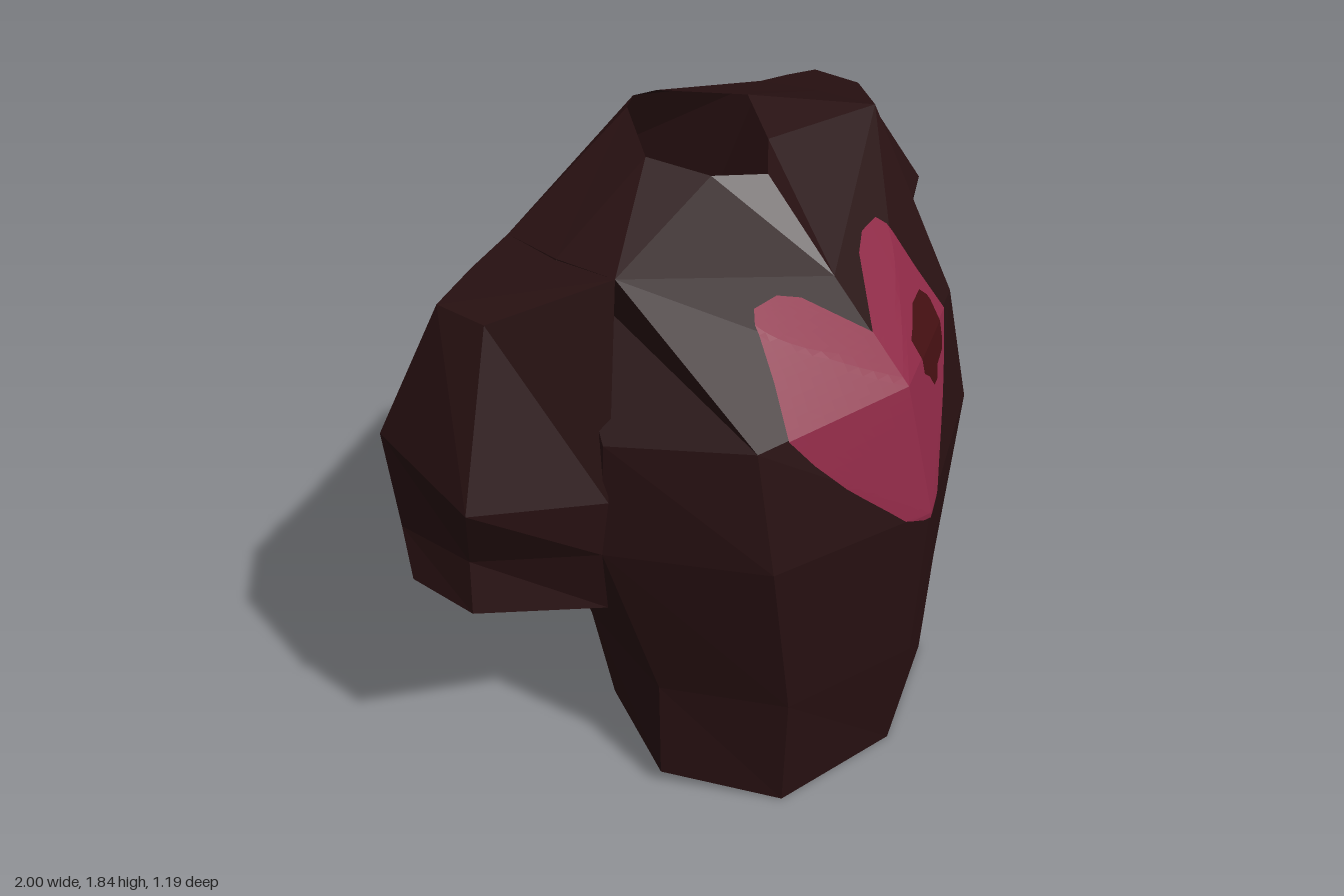
import * as THREE from 'three';

const mat = (name, color) => {
  const m = new THREE.MeshStandardMaterial({ color, side: THREE.DoubleSide, flatShading: true });
  m.name = name;
  return m;
};

// Join stacked half sections (bottom to top) into triangles of points
function loft(rows) {
  const tris = [];
  for (let r = 0; r < rows.length - 1; r++) {
    const a = rows[r], b = rows[r + 1];
    for (let i = 0; i < a.length - 1; i++) {
      tris.push([a[i], a[i + 1], b[i + 1]], [a[i], b[i + 1], b[i]]);
    }
  }
  return tris;
}

const fan = (ring) => ring.slice(2).map((p, i) => [ring[0], ring[i + 1], p]);
const mirror = (tris) => tris.map(([a, b, c]) => [a, c, b].map(([x, y, z]) => [-x, y, z]));

function mesh(name, tris, material) {
  const g = new THREE.BufferGeometry();
  g.setAttribute('position', new THREE.Float32BufferAttribute(tris.flat(2), 3));
  g.computeVertexNormals();
  const m = new THREE.Mesh(g, material);
  m.name = name;
  return m;
}

// Height of the front surface (z) above a point x, y
function frontZ(tris, x, y) {
  let best = -1;
  for (const [a, b, c] of tris) {
    const d = (b[1] - c[1]) * (a[0] - c[0]) + (c[0] - b[0]) * (a[1] - c[1]);
    if (Math.abs(d) < 1e-9) continue;
    const u = ((b[1] - c[1]) * (x - c[0]) + (c[0] - b[0]) * (y - c[1])) / d;
    const v = ((c[1] - a[1]) * (x - c[0]) + (a[0] - c[0]) * (y - c[1])) / d;
    const w = 1 - u - v;
    if (Math.min(u, v, w) > -1e-6) best = Math.max(best, u * a[2] + v * b[2] + w * c[2]);
  }
  return best;
}

// Thin skin following the chest; outline rows are [y, inner x, outer x]
function skin(outline, body, lift) {
  const rows = [], cols = 10, steps = 3;
  outline.forEach((o, k) => {
    const next = outline[k + 1];
    for (let s = 0; s < (next ? steps : 1); s++) {
      const [y, x0, x1] = next ? o.map((v, j) => v + (next[j] - v) * s / steps) : o;
      rows.push(Array.from({ length: cols + 1 }, (_, i) => {
        const x = x0 + (x1 - x0) * i / cols;
        return [x, y, frontZ(body, x, y) + lift];
      }));
    }
  });
  return loft(rows);
}

export function createModel() {
  const group = new THREE.Group();
  const cloth = mat('dark cloth', 0x271011);
  const pink = mat('heart pink', 0x8c2845);
  const red = mat('patch dark red', 0x430f11);

  // Half sections of the torso, front centre round to back centre
  const torso = loft([
    [[0, 0, .52], [.38, 0, .40], [.545, .06, .09], [.38, .06, -.22], [0, .06, -.35]],
    [[0, .4, .57], [.385, .4, .42], [.535, .4, .09], [.42, .4, -.25], [0, .4, -.39]],
    [[0, .92, .595], [.47, .95, .425], [.66, .95, .03], [.47, .93, -.43], [0, .93, -.53]],
    [[0, 1.29, .5], [.45, 1.29, .36], [.64, 1.29, .04], [.48, 1.28, -.48], [0, 1.29, -.595]],
    [[0, 1.53, .27], [.55, 1.71, .03], [.55, 1.7, -.15], [.52, 1.69, -.33], [0, 1.66, -.46]],
    [[0, 1.75, .065], [.12, 1.77, -.02], [.21, 1.82, -.15], [.06, 1.84, -.33], [0, 1.84, -.36]],
  ]);
  group.add(mesh('torso', [...torso, ...mirror(torso)], cloth));

  // Sleeve sections from cuff to shoulder, front inner round to back inner
  const rings = [
    [[.62, .72, 0], [.95, .87, -.15], [.94, .86, -.37], [.63, .73, -.4], [.5, .75, -.38]],
    [[.66, .95, .03], [.92, 1.01, -.17], [.9, .98, -.43], [.64, .98, -.46], [.47, .93, -.43]],
    [[.645, 1.12, .05], [1, 1.26, -.07], [.91, 1.28, -.44], [.66, 1.27, -.51], [.48, 1.28, -.48]],
    [[.55, 1.71, .03], [.78, 1.63, -.17], [.78, 1.63, -.32], [.65, 1.66, -.33], [.52, 1.69, -.33]],
  ];
  const sleeve = [...loft(rings), ...fan(rings[3]), ...fan([...rings[0]].reverse())];
  group.add(mesh('leftSleeve', sleeve, cloth), mesh('rightSleeve', mirror(sleeve), cloth));

  // Heart on the chest, one half mirrored
  const heart = skin([
    [.905, 0, .02], [.93, 0, .08], [.98, 0, .125], [1.05, 0, .19], [1.1, 0, .235], [1.2, 0, .31],
    [1.29, 0, .365], [1.35, 0, .345], [1.41, 0, .325], [1.47, .065, .31], [1.53, .13, .295], [1.555, .19, .27],
  ], torso, .005);
  group.add(mesh('heart', [...heart, ...mirror(heart)], pink));

  // Small ragged patch on the heart
  const patch = skin([
    [1.18, .18, .21], [1.21, .16, .23], [1.22, .155, .285], [1.25, .12, .3], [1.29, .12, .305],
    [1.34, .115, .31], [1.355, .16, .305], [1.38, .21, .28],
  ], torso, .009);
  group.add(mesh('heartPatch', patch, red));
  return group;
}
